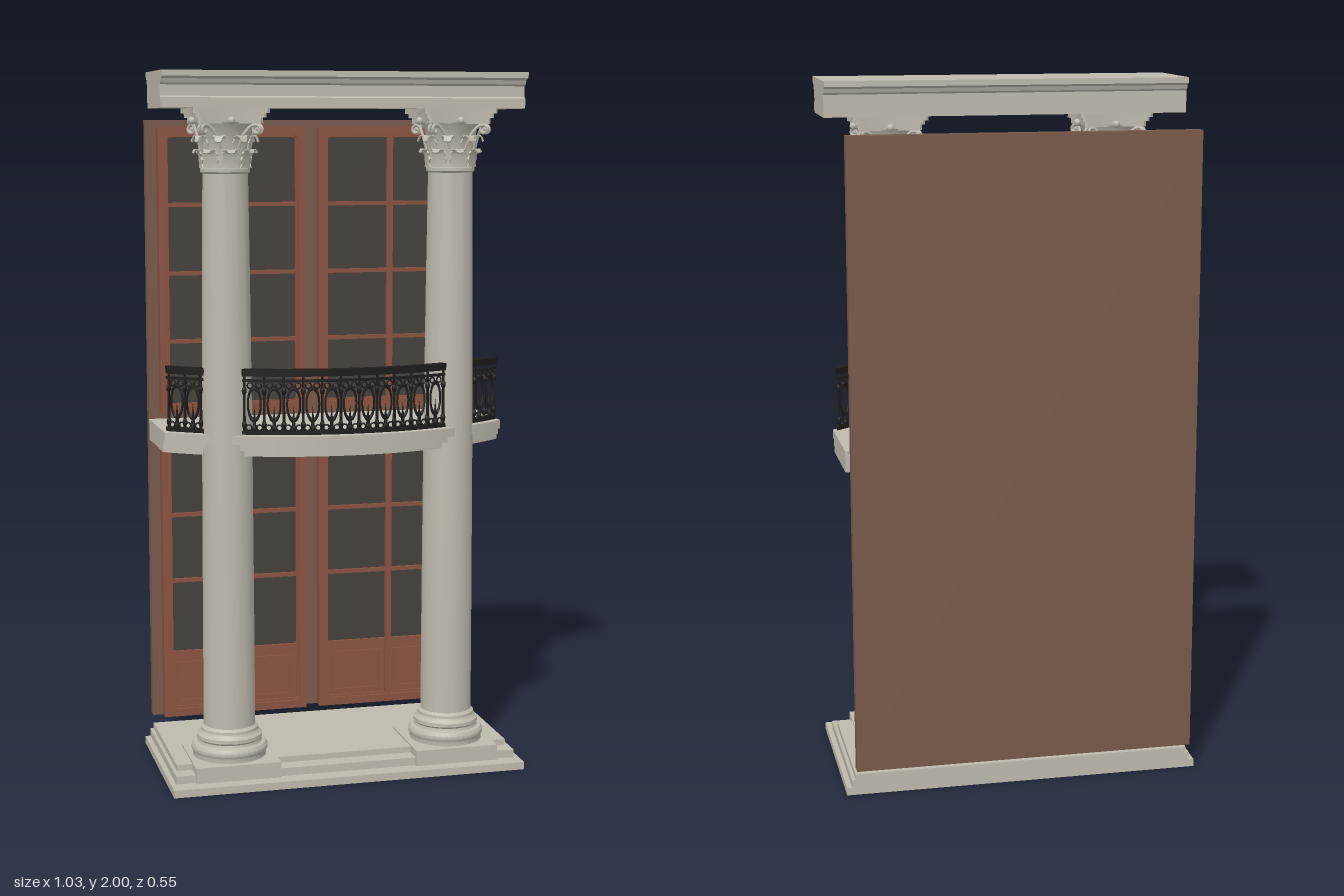
import * as THREE from 'three';
import { toCreasedNormals } from 'three/addons/utils/BufferGeometryUtils.js';

const material = (name, color) => Object.assign(new THREE.MeshStandardMaterial({ color }), { name });

// The balcony front and its railing follow circles about this point on the z axis
const ARC_Z = -0.52;
const RAIL_R = 0.755;

export function createModel() {
  const stone = material('stone', 0xbfbaad);
  const backing = material('brown backing', 0x7a5a4b);
  const wood = material('red wood', 0x8a5341);
  const glass = material('dark glass', 0x45413b);
  const iron = material('black iron', 0x1f1d1b);
  const model = new THREE.Group();
  model.name = 'balconyFacade';

  const group = (name, parent = model) => {
    const g = new THREE.Group();
    g.name = name;
    parent.add(g);
    return g;
  };
  const add = (parent, name, geometry, mat) => {
    const m = new THREE.Mesh(geometry, mat);
    m.name = name;
    parent.add(m);
    return m;
  };
  // Box given by its limits
  const block = (parent, name, mat, x0, x1, y0, y1, z0, z1) => {
    const m = add(parent, name, new THREE.BoxGeometry(x1 - x0, y1 - y0, z1 - z0), mat);
    m.position.set((x0 + x1) / 2, (y0 + y1) / 2, (z0 + z1) / 2);
    return m;
  };
  // Floor-plan points [x, z] raised from y0 to y1
  const raisePlan = (points, y0, y1) => {
    const shape = new THREE.Shape(points.map(([x, z]) => new THREE.Vector2(x, -z)));
    const g = new THREE.ExtrudeGeometry(shape, { depth: y1 - y0, bevelEnabled: false });
    return toCreasedNormals(g.rotateX(-Math.PI / 2).translate(0, y0, 0), 0.5);
  };
  const arc = (r, x0, x1, n = 32) => Array.from({ length: n + 1 }, (_, i) => {
    const x = x0 + (x1 - x0) * i / n;
    return [x, ARC_Z + Math.sqrt(r * r - x * x)];
  });

  // Stepped base with a raised pad under each column
  const base = group('base');
  block(base, 'lowerStep', stone, -0.515, 0.515, 0, 0.022, -0.24, 0.275);
  block(base, 'middleStep', stone, -0.5, 0.5, 0.022, 0.045, -0.24, 0.225);
  block(base, 'floor', stone, -0.49, 0.49, 0.045, 0.062, -0.24, 0.175);
  for (const s of [-1, 1]) {
    block(base, 'columnPad', stone, s * 0.3225 - 0.1225, s * 0.3225 + 0.1225, 0.022, 0.067, -0.005, 0.235);
  }

  // Columns
  const shaftProfile = [
    [0, 0.066], [0.105, 0.066], [0.105, 0.08], [0.109, 0.086], [0.109, 0.096], [0.103, 0.105],
    [0.093, 0.107], [0.09, 0.115], [0.094, 0.12], [0.094, 0.13], [0.086, 0.136], [0.082, 0.142],
    [0.082, 0.15], [0.074, 0.157], [0.073, 0.5], [0.071, 0.95], [0.067, 1.4], [0.063, 1.722],
    [0.069, 1.727], [0.069, 1.737], [0.062, 1.74], [0.064, 1.8], [0.074, 1.84], [0.086, 1.862], [0, 1.862],
  ].map(([r, y]) => new THREE.Vector2(r, y));
  const shaft = toCreasedNormals(new THREE.LatheGeometry(shaftProfile, 40), 0.6);

  // Leaf: a thin strip with lobed sides that rises and curls outward
  const makeLeaf = (width, height, reach) => {
    const g = new THREE.BoxGeometry(width, 1, 0.005, 4, 10, 1);
    const p = g.attributes.position;
    for (let i = 0; i < p.count; i++) {
      const t = p.getY(i) + 0.5;
      const a = t * 2.2;
      const x = p.getX(i) * (1 - 0.6 * t ** 3) * (1 + 0.13 * Math.cos(t * 10 * Math.PI));
      const rib = 0.004 * (1 - Math.abs(p.getX(i)) * 2 / width);
      const off = p.getZ(i) + rib;
      p.setXYZ(i, x, height * Math.sin(a) - off * Math.sin(a) * 0.6, reach * (1 - Math.cos(a)) + off * Math.cos(a));
    }
    return toCreasedNormals(g, 0.7);
  };
  const lowLeaf = makeLeaf(0.044, 0.05, 0.015);
  const highLeaf = makeLeaf(0.042, 0.088, 0.019);
  const scroll = new THREE.TorusGeometry(0.011, 0.0045, 6, 14);
  const scrollEye = new THREE.SphereGeometry(0.006, 8, 6);
  const flower = new THREE.SphereGeometry(0.011, 10, 6);

  for (const s of [-1, 1]) {
    const column = group(s > 0 ? 'leftColumn' : 'rightColumn');
    column.position.set(s * 0.325, 0, 0.113);
    add(column, 'shaft', shaft, stone);
    const capital = group('capital', column);
    for (let i = 0; i < 16; i++) {
      const high = i % 2;
      const a = i * Math.PI / 8;
      const r = high ? 0.063 : 0.066;
      const m = add(capital, high ? 'upperLeaf' : 'lowerLeaf', high ? highLeaf : lowLeaf, stone);
      m.position.set(Math.sin(a) * r, 1.738, Math.cos(a) * r);
      m.rotation.y = a;
    }
    for (let i = 0; i < 4; i++) {
      const a = Math.PI / 4 + i * Math.PI / 2;
      const corner = group('cornerScroll', capital);
      corner.rotation.y = a;
      for (const side of [-1, 1]) {
        const ring = add(corner, 'scroll', scroll, stone);
        ring.position.set(side * 0.006, 1.843, 0.108);
        ring.rotation.y = Math.PI / 2;
        const stalk = new THREE.CatmullRomCurve3([[0.03, 1.79, 0.062], [0.025, 1.825, 0.075], [0.012, 1.852, 0.095], [0.006, 1.855, 0.108]]
          .map(([x, y, z]) => new THREE.Vector3(side * x, y, z)));
        add(corner, 'stalk', new THREE.TubeGeometry(stalk, 8, 0.0045, 6), stone);
      }
      add(corner, 'scrollEye', scrollEye, stone).position.set(0, 1.843, 0.108);
      const f = add(capital, 'flower', flower, stone);
      f.position.set(Math.sin(i * Math.PI / 2) * 0.092, 1.866, Math.cos(i * Math.PI / 2) * 0.092);
    }
    // Flaring square top with hollowed sides
    [[1.858, 1.874, 0.09], [1.874, 1.886, 0.098], [1.886, 1.9, 0.106]].forEach(([y0, y1, h]) => {
      const pts = [];
      for (let k = 0; k < 4; k++) {
        const c = Math.cos(k * Math.PI / 2), n = Math.sin(k * Math.PI / 2);
        for (let j = 0; j < 8; j++) {
          const u = -0.92 + 1.84 * j / 7;
          const d = h * (0.9 + 0.1 * u * u / 0.8464);
          pts.push([c * u * h + n * d, c * d - n * u * h]);
        }
      }
      add(capital, 'abacus', raisePlan(pts, y0, y1), stone);
    });
  }

  // Lintel: a moulded section drawn along x
  const lintelShape = new THREE.Shape([
    [0.197, 1.9], [0.197, 1.928], [0.19, 1.932], [0.19, 1.962], [0.2, 1.967], [0.204, 1.978], [0.222, 1.984],
    [0.222, 2], [-0.047, 2], [-0.047, 1.984], [-0.036, 1.978], [-0.032, 1.967], [-0.026, 1.962], [-0.026, 1.9],
  ].map(([z, y]) => new THREE.Vector2(-z, y)));
  const lintel = new THREE.ExtrudeGeometry(lintelShape, { depth: 1.034, bevelEnabled: false });
  add(model, 'lintel', lintel.translate(0, 0, -0.517).rotateY(Math.PI / 2), stone);

  // Bowed balcony in three moulded layers
  const balcony = group('balcony');
  [[0.94, 0.957, 0.752], [0.957, 0.975, 0.763], [0.975, 1, 0.775]].forEach(([y0, y1, r]) => {
    add(balcony, 'slab', raisePlan([[-0.497, -0.197], [0.497, -0.197], ...arc(r, 0.497, -0.497)], y0, y1), stone);
  });

  // Iron railing in three runs between the columns
  const railing = group('railing');
  const oval = new THREE.TorusGeometry(0.018, 0.003, 5, 18).scale(1, 2.5, 1);
  const ringlet = new THREE.TorusGeometry(0.008, 0.0025, 5, 12);
  const bar = new THREE.CylinderGeometry(0.0035, 0.0045, 0.16, 6);
  const knob = new THREE.SphereGeometry(0.008, 8, 6).scale(0.9, 1.5, 0.9);
  const spear = new THREE.ConeGeometry(0.006, 0.06, 6);
  const rails = [[1.003, 1.013, 0.008], [1.15, 1.157, 0.006], [1.166, 1.174, 0.009], [1.174, 1.186, 0.013]];
  for (const [x0, x1, count] of [[-0.487, -0.395, 2], [-0.295, 0.295, 11], [0.395, 0.487, 2]]) {
    const run = group('railingRun', railing);
    for (const [y0, y1, h] of rails) {
      const plan = [...arc(RAIL_R + h, x0, x1, 20), ...arc(RAIL_R - h, x1, x0, 20)];
      add(run, 'rail', raisePlan(plan, y0, y1), iron);
    }
    const step = (x1 - x0 - 0.012) / count;
    const place = (x, name) => {
      const g = group(name, run);
      g.position.set(x, 0, ARC_Z + Math.sqrt(RAIL_R ** 2 - x * x));
      g.rotation.y = Math.asin(x / RAIL_R);
      return g;
    };
    for (let i = 0; i <= count; i++) {
      const x = x0 + 0.006 + step * i;
      const post = place(x, 'post');
      add(post, 'bar', bar, iron).position.y = 1.09;
      for (const y of [1.03, 1.125]) add(post, 'knob', knob, iron).position.y = y;
      if (i === count) continue;
      const panel = place(x + step / 2, 'panel');
      add(panel, 'oval', oval, iron).position.y = 1.088;
      add(panel, 'spear', spear, iron).position.y = 1.055;
      add(panel, 'spearTip', knob, iron).position.y = 1.02;
      for (const side of [-1, 1]) {
        add(panel, 'ringlet', ringlet, iron).position.set(side * 0.012, 1.14, 0);
        add(panel, 'footRinglet', ringlet, iron).position.set(side * 0.015, 1.022, 0);
      }
    }
  }

  // Wall behind the doors
  block(model, 'backPanel', backing, -0.49, 0.49, 0.085, 1.87, -0.277, -0.243);

  // Frame with rounded corners
  const roundRect = (path, x0, x1, y0, y1, r) => {
    path.moveTo(x0 + r, y0);
    path.absarc(x1 - r, y0 + r, r, -Math.PI / 2, 0);
    path.absarc(x1 - r, y1 - r, r, 0, Math.PI / 2);
    path.absarc(x0 + r, y1 - r, r, Math.PI / 2, Math.PI);
    path.absarc(x0 + r, y0 + r, r, Math.PI, Math.PI * 1.5);
    return path;
  };
  const frame = (parent, name, x0, x1, y0, y1, w, z0, z1, r) => {
    const shape = roundRect(new THREE.Shape(), x0, x1, y0, y1, 0.002);
    shape.holes.push(roundRect(new THREE.Path(), x0 + w, x1 - w, y0 + w, y1 - w, r));
    const g = new THREE.ExtrudeGeometry(shape, { depth: z1 - z0, bevelEnabled: false, curveSegments: 5 });
    add(parent, name, g.translate(0, 0, z0), wood);
  };

  // Four glazed doors, two on each floor
  for (const s of [-1, 1]) {
    const [x0, x1] = s > 0 ? [0.02, 0.46] : [-0.46, -0.02];
    const mid = (x0 + x1) / 2;
    for (const upper of [false, true]) {
      const [y0, y1] = upper ? [1.012, 1.85] : [0.087, 0.93];
      const door = group(upper ? 'upperDoor' : 'lowerDoor');
      block(door, 'rebate', wood, x0 + 0.012, x1 - 0.012, y0 + 0.01, y1 - 0.01, -0.244, -0.236);
      frame(door, 'frame', x0, x1, y0, y1, 0.03, -0.237, -0.213, 0.004);
      frame(door, 'frameMoulding', x0, x1, y0, y1, 0.023, -0.213, -0.205, 0.018);
      const glassY = upper ? y0 + 0.02 : 0.285;
      block(door, 'glass', glass, x0 + 0.02, x1 - 0.02, glassY, y1 - 0.02, -0.228, -0.22);
      block(door, 'middleBar', wood, mid - 0.009, mid + 0.009, y0 + 0.02, y1 - 0.02, -0.225, -0.208);
      for (const y of upper ? [1.225, 1.425, 1.625] : [0.505, 0.705]) {
        block(door, 'crossBar', wood, x0 + 0.025, x1 - 0.025, y - 0.006, y + 0.006, -0.225, -0.211);
      }
      if (upper) continue;
      block(door, 'kickPanel', wood, x0 + 0.02, x1 - 0.02, y0 + 0.02, 0.286, -0.232, -0.219);
      block(door, 'kickRail', wood, x0 + 0.025, x1 - 0.025, 0.262, 0.288, -0.225, -0.211);
      for (const side of [-1, 1]) {
        const c = mid + side * 0.099;
        frame(door, 'kickMoulding', c - 0.08, c + 0.08, 0.125, 0.253, 0.01, -0.219, -0.214, 0.003);
      }
    }
  }
  return model;
}
